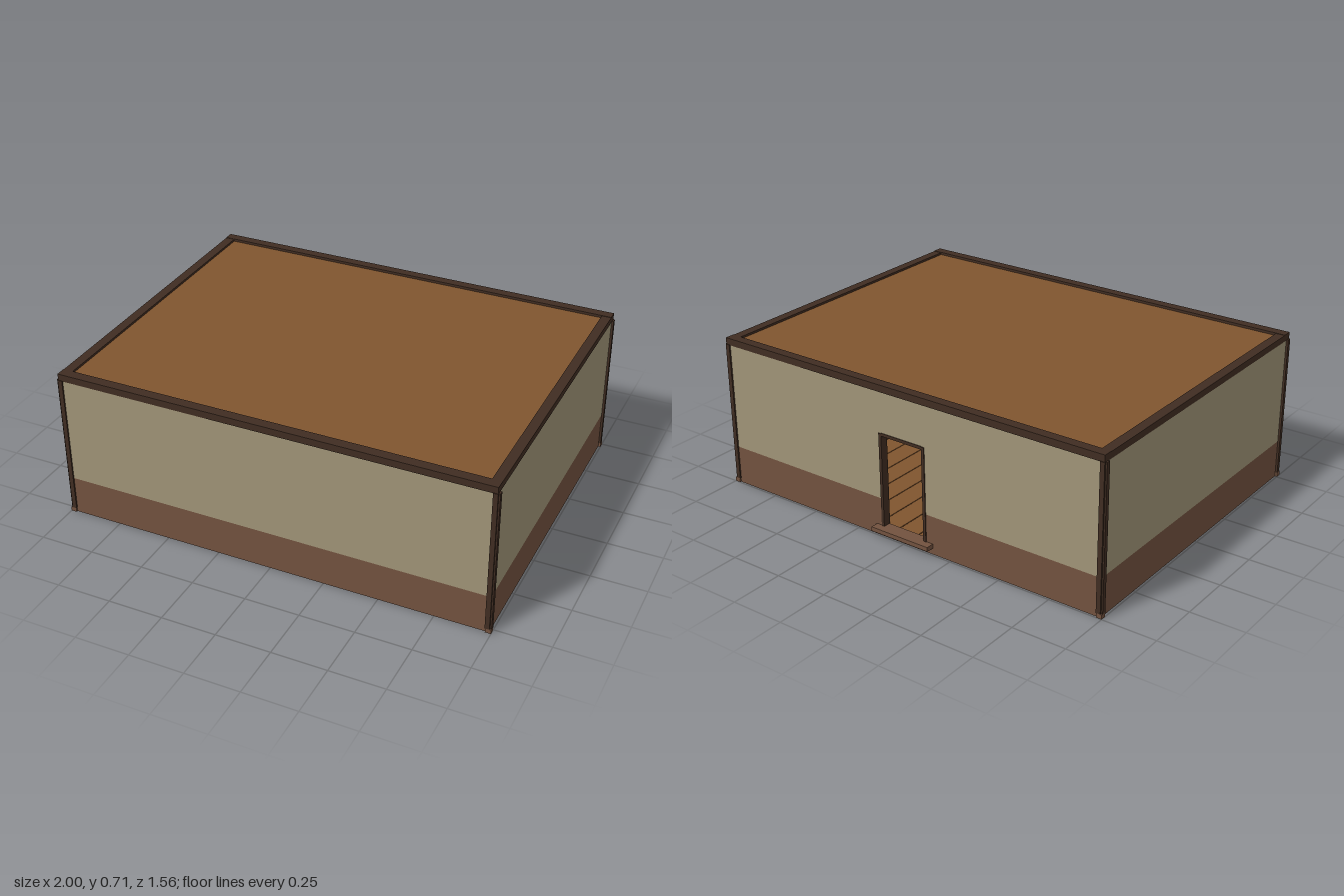
import * as THREE from 'three';

const mat = (color) => new THREE.MeshStandardMaterial({ color, roughness: 0.9 });

export function createModel() {
  const plaster = mat(0xa09477), band = mat(0x72523f), dark = mat(0x402d22), wood = mat(0x80552f);
  const root = new THREE.Group();
  root.name = 'room';

  // Box given by its minimum and maximum corners
  const box = (name, m, x0, x1, y0, y1, z0, z1, parent = root) => {
    const mesh = new THREE.Mesh(new THREE.BoxGeometry(x1 - x0, y1 - y0, z1 - z0), m);
    mesh.position.set((x0 + x1) / 2, (y0 + y1) / 2, (z0 + z1) / 2);
    mesh.name = name;
    parent.add(mesh);
  };
  const group = (name) => {
    const g = new THREE.Group();
    g.name = name;
    root.add(g);
    return g;
  };

  const X = 0.99, ZF = 0.772, ZB = -0.742, T = 0.03; // outer wall faces and thickness
  const bandTop = 0.18, wallTop = 0.685;
  const doorX = 0.12, doorBottom = 0.05, doorTop = 0.49;

  // Walls: a brown lower band below plaster
  const walls = group('walls');
  for (const [name, m, y0, y1] of [['lowerWall', band, 0, bandTop], ['upperWall', plaster, bandTop, wallTop]]) {
    box(name + 'Front', m, -X, X, y0, y1, ZF - T, ZF, walls);
    for (const s of [-1, 1]) {
      const a = s * X, b = s * (X - T);
      box(name + 'Side', m, Math.min(a, b), Math.max(a, b), y0, y1, ZB + T, ZF - T, walls);
      const c = s * doorX, d = s * X;
      box(name + 'Back', m, Math.min(c, d), Math.max(c, d), y0, y1, ZB, ZB + T, walls);
    }
  }
  box('wallAboveDoor', plaster, -doorX, doorX, doorTop, wallTop, ZB, ZB + T, walls);
  box('wallBelowDoor', band, -doorX, doorX, 0, 0.03, ZB, ZB + T, walls);

  // Door frame and sill
  const door = group('doorway');
  for (const s of [-1, 1])
    box('doorJamb', dark, s * 0.114 - 0.007, s * 0.114 + 0.007, 0.03, doorTop, ZB - 0.004, ZB + T + 0.004, door);
  box('doorLintel', dark, -0.107, 0.107, doorTop - 0.012, doorTop + 0.002, ZB - 0.003, ZB + T + 0.004, door);
  box('doorSill', band, -0.155, 0.15, 0.03, doorBottom, -0.78, ZB + T, door);

  // Corner posts: two boards per corner with a notch between them
  const posts = group('cornerPosts');
  for (const sx of [-1, 1]) for (const [z, sz] of [[0.779, 1], [-0.749, -1]]) {
    const span = (edge, s, a, b) => [edge - s * a, edge - s * b].sort((p, q) => p - q);
    box('postBoard', dark, ...span(sx, sx, 0.007, 0.028), 0.02, 0.682, ...span(z, sz, 0, 0.026), posts);
    box('postBoard', dark, ...span(sx, sx, 0, 0.026), 0.02, 0.682, ...span(z, sz, 0.007, 0.026), posts);
    box('postFoot', band, ...span(sx, sx, 0, 0.026), 0, 0.02, ...span(z, sz, 0, 0.026), posts);
  }

  // Roof panel inside a dark rim
  const roof = group('roof');
  box('roofPanel', wood, -0.96, 0.96, 0.682, 0.7, -0.72, 0.75, roof);
  box('rimFront', dark, -0.992, 0.992, 0.68, 0.712, 0.73, 0.776, roof);
  box('rimBack', dark, -0.992, 0.992, 0.68, 0.712, -0.746, -0.702, roof);
  for (const s of [-1, 1])
    box('rimSide', dark, s * 0.97 - 0.022, s * 0.97 + 0.022, 0.68, 0.71, -0.702, 0.73, roof);

  // Floor planks run front to back over a thin backing
  const floor = group('floor');
  const count = 19, half = 0.962, step = (2 * half) / count;
  for (let i = 0; i < count; i++) {
    const x = -half + i * step;
    box('floorPlank', wood, x + 0.002, x + step - 0.002, 0.025, 0.045, ZB + T, ZF - T, floor);
  }
  box('floorBacking', dark, -half, half, 0.029, 0.041, ZB + T, ZF - T, floor);

  // Beams under the floor and the ceiling, with a base frame along the walls
  const beams = group('beams');
  for (const z of [-0.67, 0.01, 0.68]) {
    box('floorJoist', dark, -half, half, 0.004, 0.026, z - 0.012, z + 0.012, beams);
    box('ceilingBeam', dark, -half, half, 0.65, 0.683, z - 0.015, z + 0.015, beams);
  }
  box('baseBeamFront', dark, -0.96, 0.96, 0.001, 0.026, 0.722, 0.743, beams);
  box('baseBeamBack', dark, -0.96, 0.96, 0.001, 0.026, -0.713, -0.692, beams);
  for (const s of [-1, 1])
    box('baseBeamSide', dark, s * 0.95 - 0.011, s * 0.95 + 0.011, 0.001, 0.026, -0.692, 0.722, beams);

  return root;
}
